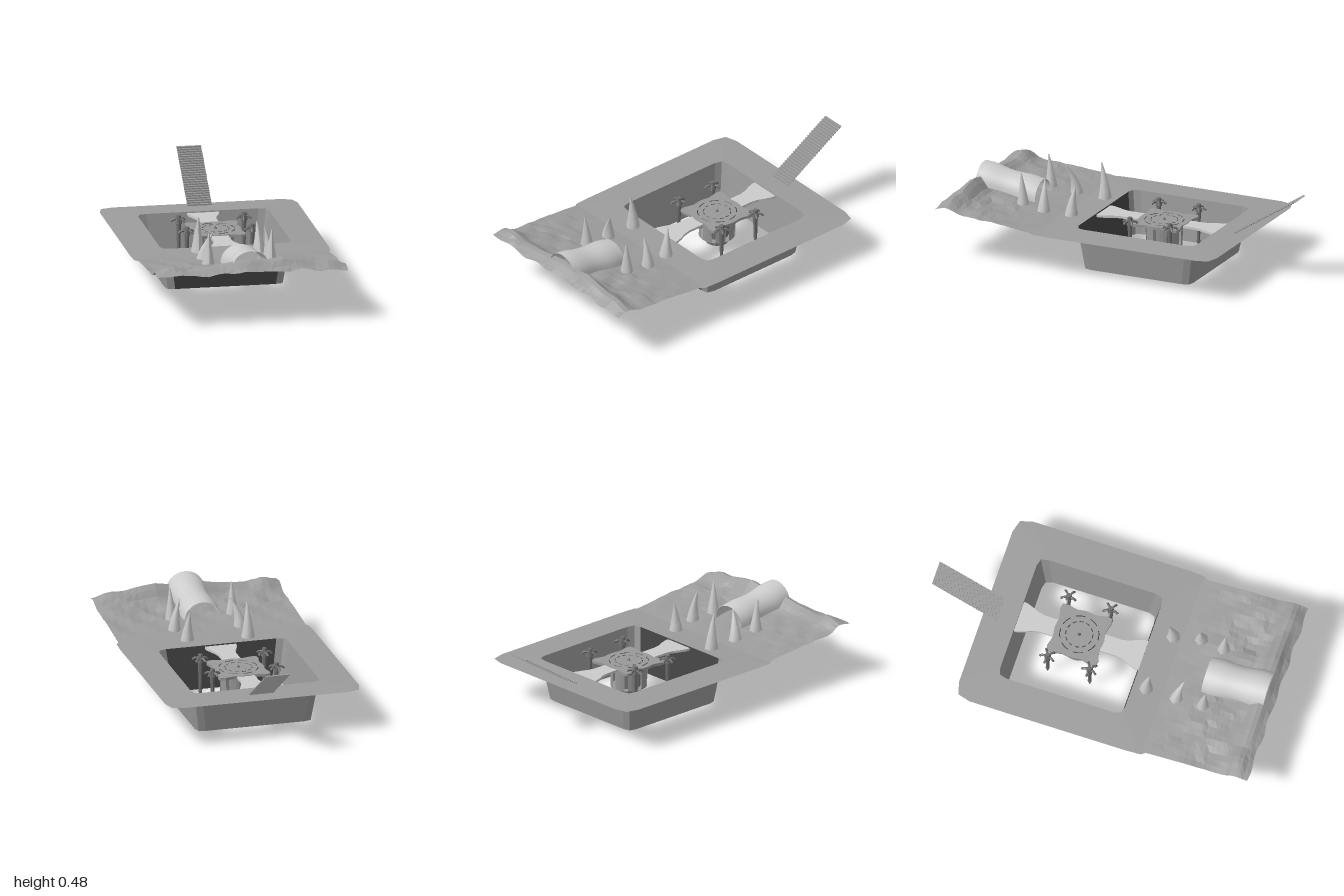
import * as THREE from 'three';

const paint = (color, flatShading = true) =>
  new THREE.MeshStandardMaterial({ color, flatShading, side: THREE.DoubleSide });
const pale = paint(0xcccccc), paleSmooth = paint(0xcccccc, false);
const stone = paint(0x9c9c9c), wall = paint(0x999999), dark = paint(0x444444), iron = paint(0x707070);

function add(parent, name, geo, mat, x = 0, y = 0, z = 0) {
  const m = new THREE.Mesh(geo, mat);
  m.name = name;
  m.position.set(x, y, z);
  parent.add(m);
  return m;
}

// Grid surface: fn(u, v) returns [x, y, z]
function surface(nu, nv, fn) {
  const pos = [], idx = [];
  for (let j = 0; j <= nv; j++)
    for (let i = 0; i <= nu; i++) pos.push(...fn(i / nu, j / nv));
  for (let j = 0; j < nv; j++)
    for (let i = 0; i < nu; i++) {
      const a = j * (nu + 1) + i, b = a + nu + 1;
      idx.push(a, b, a + 1, a + 1, b, b + 1);
    }
  const g = new THREE.BufferGeometry();
  g.setAttribute('position', new THREE.Float32BufferAttribute(pos, 3));
  g.setIndex(idx);
  g.computeVertexNormals();
  return g;
}

// Rectangle ring with softened corners (back cut cb, front cut fx by fz)
function ring(hx, zb, zf, cb, fx, fz, y) {
  const k = 0.22;
  const half = [[hx - fx, zf], [hx - fx * k, zf - fz * k], [hx, zf - fz],
    [hx, zb + cb], [hx - cb * k, zb + cb * k], [hx - cb, zb]];
  const all = [...half, ...half.map(([x, z]) => [-x, z]).reverse()];
  return [...all, all[0]].map(([x, z]) => [x, y, z]);
}
// Skin between two rings, over sides [from, to)
const loft = (a, b, from = 0, to = 12) => surface(to - from, 1,
  (u, v) => (v < 0.5 ? a : b)[from + Math.round(u * (to - from))]);

// Crest heights from right to left along the front edge of the ground
const crest = [0.31, 0.343, 0.315, 0.325, 0.335, 0.352, 0.362, 0.352, 0.368, 0.355, 0.335, 0.338, 0.305];
const hash = (a, b) => { const s = Math.sin(a * 127.1 + b * 311.7) * 43758.5; return s - Math.floor(s) - 0.5; };

function ground(x, z) {
  const t = THREE.MathUtils.clamp((z - 0.38) / 0.61, 0, 1);
  const rough = Math.sin(x * 17 + z * 9) * 0.4 + Math.sin(x * 39 - z * 23 + 1) * 0.3
    + hash(Math.round(x * 14), Math.round(z * 17)) * 0.9;
  const f = THREE.MathUtils.clamp((x + 0.535) / 1.07, 0, 1) * (crest.length - 1);
  const i = Math.min(Math.floor(f), crest.length - 2);
  const top = THREE.MathUtils.lerp(crest[i], crest[i + 1], f - i);
  const base = 0.236 + 0.058 * t + rough * 0.014 * Math.min(1, t * 1.6);
  return THREE.MathUtils.lerp(base, top, Math.exp(-(((z - 0.92) / 0.05) ** 2)));
}

// Open, leaning horn
function hornGeometry(h, r, leanX, leanZ) {
  const g = new THREE.CylinderGeometry(0.003, r, h, 7, 4, true);
  g.translate(0, h / 2, 0);
  const p = g.attributes.position;
  for (let i = 0; i < p.count; i++) {
    const t = p.getY(i) / h;
    p.setX(i, p.getX(i) + leanX * t * t);
    p.setZ(i, p.getZ(i) + leanZ * t * t);
  }
  g.computeVertexNormals();
  return g;
}

function hub() {
  const g = new THREE.Group();
  g.name = 'centralHub';
  g.position.set(0.008, 0, -0.165);
  // Deck with four short arms
  const pts = [];
  for (let i = 0; i < 48; i++) {
    const a = i / 48 * Math.PI * 2;
    const r = 0.142 + 0.06 * Math.sin(2 * a) ** 8;
    pts.push(new THREE.Vector2(Math.cos(a) * r, Math.sin(a) * r));
  }
  const deckGeo = new THREE.ExtrudeGeometry(new THREE.Shape(pts), { depth: 0.015, bevelEnabled: false });
  add(g, 'hubDeck', deckGeo.rotateX(-Math.PI / 2), wall, 0, 0.222, 0);
  add(g, 'hubCap', new THREE.ConeGeometry(0.01, 0.018, 8), iron, 0, 0.245, 0);
  // Two broken rings on the deck
  for (const [r, n, len] of [[0.075, 12, 0.3], [0.108, 8, 0.5]])
    for (let i = 0; i < n; i++) {
      const arc = new THREE.TorusGeometry(r, 0.0025, 4, 5, len);
      add(g, 'ringDash', arc.rotateX(-Math.PI / 2).rotateY(i / n * Math.PI * 2), dark, 0, 0.237, 0);
    }
  // Drum of spaced panels around a core
  add(g, 'hubCore', new THREE.CylinderGeometry(0.065, 0.065, 0.17, 16, 1, true), iron, 0, 0.137, 0);
  for (let i = 0; i < 8; i++)
    add(g, 'drumPanel', new THREE.CylinderGeometry(0.105, 0.1, 0.13, 3, 1, true, i * Math.PI / 4, 0.58),
      wall, 0, 0.157, 0);
  add(g, 'drumBase', new THREE.RingGeometry(0.06, 0.102, 24).rotateX(-Math.PI / 2), wall, 0, 0.092, 0);
  // Posts with branching tops
  for (const sx of [-1, 1]) for (const sz of [-1, 1]) {
    const post = new THREE.Group();
    post.name = 'post';
    post.position.set(sx * 0.183, 0, sz * 0.122);
    add(post, 'postShaft', new THREE.CylinderGeometry(0.014, 0.008, 0.19, 8), iron, 0, 0.16, 0);
    add(post, 'postTip', new THREE.ConeGeometry(0.012, 0.06, 8).rotateX(Math.PI), iron, 0, 0.05, 0);
    add(post, 'postHead', new THREE.CylinderGeometry(0.013, 0.02, 0.045, 8), iron, 0, 0.266, 0);
    for (let i = 0; i < 5; i++) {
      const a = i * Math.PI * 0.4 + sx * 0.5, c = Math.cos(a), s = Math.sin(a);
      const curve = new THREE.QuadraticBezierCurve3(new THREE.Vector3(0, 0.262, 0),
        new THREE.Vector3(c * 0.03, 0.275, s * 0.03), new THREE.Vector3(c * 0.043, 0.255, s * 0.043));
      add(post, 'branch', new THREE.TubeGeometry(curve, 4, 0.007, 5), iron);
    }
    g.add(post);
  }
  return g;
}

export function createModel() {
  const model = new THREE.Group();
  model.name = 'poolTerrace';

  // Surrounding deck and tapered open basin with a dark front wall
  const rim = ring(0.366, -0.515, 0.21, 0.05, 0.05, 0.05, 0.241);
  const foot = ring(0.332, -0.475, 0.178, 0.05, 0.05, 0.05, 0);
  add(model, 'deck', loft(ring(0.555, -0.705, 0.4, 0.09, 0.02, 0.1, 0.234), rim), stone);
  add(model, 'basinWall', loft(rim, foot, 0, 11), wall);
  add(model, 'basinFrontWall', loft(rim, foot, 11, 12), dark);

  // Rugged ground
  add(model, 'ground', surface(30, 24, (u, v) => {
    const x = (u - 0.5) * 1.07;
    const z = 0.38 + v * 0.61 + (v === 1 ? Math.sin(u * 31) * 0.006 : 0);
    return [x, ground(x, z), z];
  }), stone);

  // Arched tunnel
  add(model, 'tunnel', surface(14, 10, (u, v) => {
    const a = Math.PI * (1 - u), wob = 1 + 0.05 * Math.sin(v * 9);
    return [Math.cos(a) * 0.104 * wob, 0.255 + v * 0.055 + Math.sin(a) * 0.098 * wob, 0.58 + v * 0.36];
  }), paleSmooth);

  // Horns in two rows: x, z, height, lean x, lean z
  for (const [x, z, h, lx, lz] of [
    [-0.175, 0.285, 0.21, 0.0, 0.02], [0.16, 0.33, 0.17, -0.01, -0.02],
    [-0.18, 0.46, 0.17, 0.05, 0.03], [0.19, 0.485, 0.19, -0.03, 0.005],
    [-0.178, 0.615, 0.21, 0.0, 0.015], [0.17, 0.62, 0.21, 0.005, 0.01],
  ]) add(model, 'horn', hornGeometry(h, 0.04, lx, lz), paleSmooth, x, 0.23, z);

  // Walkway across the basin, flared at both ends, which pass through the walls
  add(model, 'walkway', surface(4, 20, (u, v) => {
    const e = Math.abs(v * 2 - 1), k = Math.round(u * 4) % 4;
    const w = 0.05 + 0.04 * THREE.MathUtils.smoothstep(e, 0.6, 0.95);
    return [0.004 + (k === 1 || k === 2 ? w : -w), k < 2 ? 0.234 : 0.221, -0.53 + v * 0.752];
  }), pale);
  for (const z of [-0.53, 0.222])
    add(model, 'walkwayEnd', new THREE.BoxGeometry(0.18, 0.013, 0.004), pale, 0.004, 0.2275, z);

  model.add(hub());

  // Rising stair at the back: alternating risers and treads with small nosings
  const steps = 26;
  add(model, 'stair', surface(1, steps * 2, (u, v) => {
    const k = Math.round(v * steps * 2);
    const rise = Math.ceil(k / 2) / steps, run = Math.floor(k / 2) / steps;
    return [0.075 - u * 0.138 + 0.009 * run, 0.242 + rise * 0.24, -0.625 - run * 0.375];
  }), wall);
  for (let i = 0; i < steps; i++) {
    const t = i / steps;
    add(model, 'stairNosing', new THREE.BoxGeometry(0.138, 0.004, 0.005), wall,
      0.006 + 0.009 * t, 0.249 + t * 0.24, -0.625 - t * 0.375);
  }

  return model;
}
